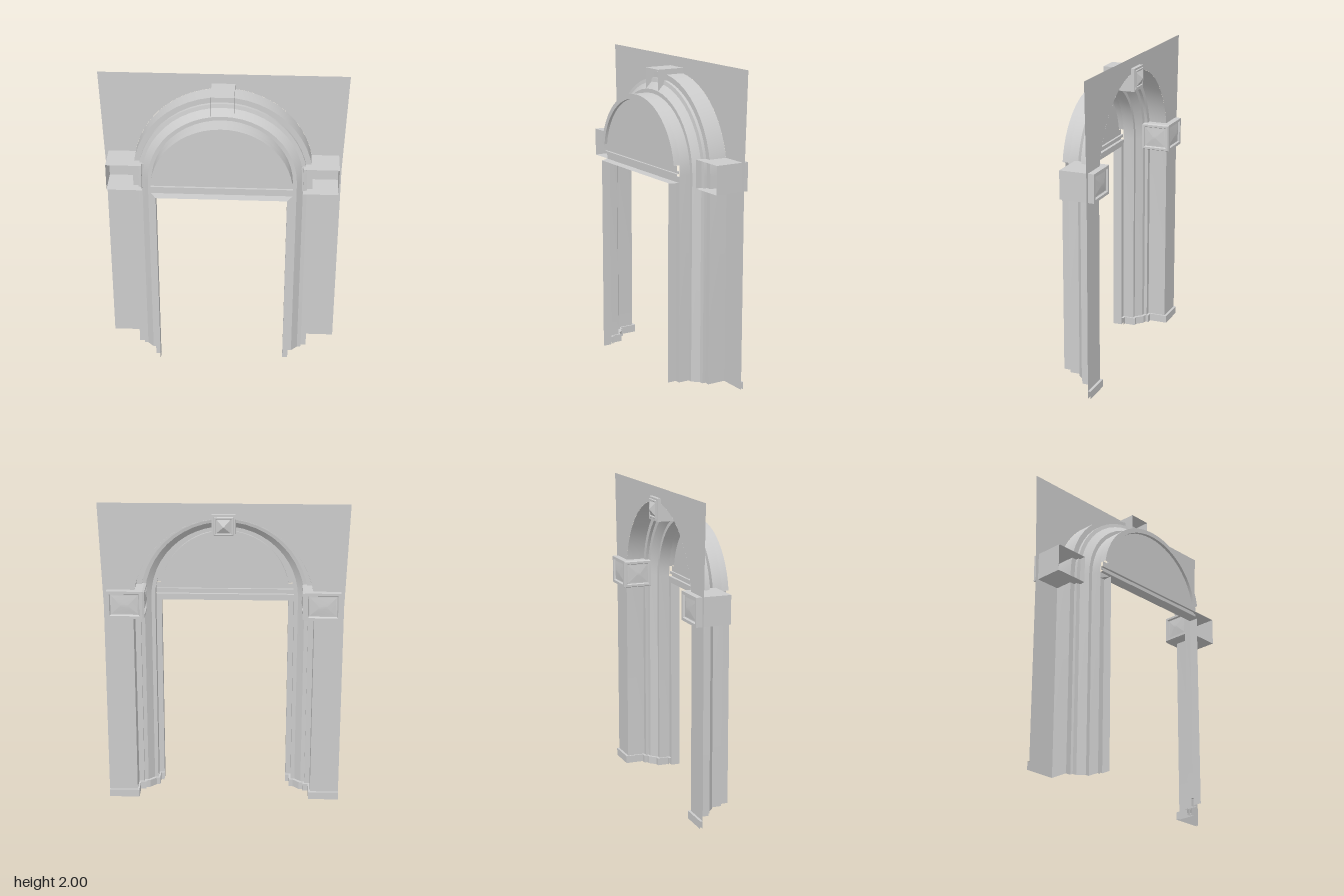
import * as THREE from 'three';
import { toCreasedNormals } from 'three/addons/utils/BufferGeometryUtils.js';

const SPRING = 1.335;   // height of the arch centre
const WALL_Z = -0.135;  // decorated face looks towards -z
const material = new THREE.MeshStandardMaterial({ color: 0xcccccc, side: THREE.DoubleSide });

// Surface through rows of points, all rows having the same length
function loft(name, rows) {
  const n = rows[0].length, index = [];
  for (let i = 0; i < rows.length - 1; i++) {
    for (let j = 0; j < n - 1; j++) {
      const a = i * n + j, c = a + n;
      index.push(a, a + 1, c, a + 1, c + 1, c);
    }
  }
  const geometry = new THREE.BufferGeometry();
  geometry.setAttribute('position', new THREE.Float32BufferAttribute(rows.flat(2), 3));
  geometry.setIndex(index);
  return named(name, toCreasedNormals(geometry, 0.35));
}

function named(name, geometry) {
  const mesh = new THREE.Mesh(geometry, material);
  mesh.name = name;
  return mesh;
}

// Sweep a [radius, z] profile over the arch; straight legs go down to y = foot
function archSweep(name, profile, foot, segments = 24, startAngle = 0) {
  const rows = [];
  if (foot !== null) rows.push(profile.map(([r, z]) => [r, foot, z]));
  for (let i = 0; i <= segments; i++) {
    const t = startAngle + (Math.PI - 2 * startAngle) * i / segments;
    rows.push(profile.map(([r, z]) => [r * Math.cos(t), SPRING + r * Math.sin(t), z]));
  }
  if (foot !== null) rows.push(profile.map(([r, z]) => [-r, foot, z]));
  return loft(name, rows);
}

// Framed panel with a hipped boss, facing +z; steps are [inset, height]
function bossPanel(name, w, h, steps, peak) {
  const ridge = Math.min(w, h) / 2 - 0.004;
  const rows = [...steps, [ridge, peak], [Math.min(w, h) / 2, peak]].map(([inset, d]) => {
    const x = w / 2 - inset, y = h / 2 - inset;
    return [[-x, -y, d], [x, -y, d], [x, y, d], [-x, y, d], [-x, -y, d]];
  });
  return loft(name, rows);
}

// Four-sided sleeve, open at its front and back
function sleeve(name, x0, x1, y0, y1, z0, z1) {
  return loft(name, [z0, z1].map(z =>
    [[x0, y0, z], [x1, y0, z], [x1, y1, z], [x0, y1, z], [x0, y0, z]]));
}

function createWall() {
  const shape = new THREE.Shape();
  shape.moveTo(-0.755, 0);
  shape.lineTo(-0.57, 0);
  shape.lineTo(-0.57, SPRING);
  shape.absarc(0, SPRING, 0.57, Math.PI, 0, true);
  shape.lineTo(0.57, 0);
  shape.lineTo(0.755, 0);
  shape.lineTo(0.755, SPRING);
  shape.lineTo(0.78, 2);
  shape.lineTo(-0.78, 2);
  shape.lineTo(-0.755, SPRING);
  const wall = named('wall', new THREE.ShapeGeometry(shape, 24));
  wall.position.z = WALL_Z;
  return wall;
}

function createTympanum() {
  const group = new THREE.Group();
  group.name = 'tympanum';
  // Half-round panel above the lintel
  const r = 0.415, a = Math.asin((1.4 - SPRING) / r);
  const shape = new THREE.Shape();
  shape.absarc(0, SPRING, r, a, Math.PI - a, false);
  const panel = named('tympanumPanel', new THREE.ShapeGeometry(shape, 24));
  panel.position.z = 0.145;
  // Raised rim around it
  const rim = [[0.445, 0.12], [0.445, 0.165], [0.415, 0.165], [0.415, 0.145]];
  group.add(panel, archSweep('tympanumRim', rim, null, 24, Math.asin((1.4 - SPRING) / 0.445)));
  return group;
}

function createLintel() {
  const profile = [[1.29, 0.185], [1.29, 0.125], [1.33, 0.125], [1.33, 0.145], [1.347, 0.145],
    [1.347, 0.13], [1.365, 0.13], [1.365, 0.145], [1.4, 0.145]];
  return loft('lintel', [-0.445, 0.445].map(x =>
    profile.map(([y, z]) => [y < 1.3 && z > 0.15 ? Math.sign(x) * 0.41 : x, y, z])));
}

// Everything that stands on one side of the doorway
function createSide(name) {
  const group = new THREE.Group();
  group.name = name;

  // Door jamb
  const jamb = [[0.445, 0.125], [0.41, 0.125], [0.41, 0.185]];
  group.add(loft('doorJamb', [0, 1.29].map(y => jamb.map(([x, z]) => [x, y, z]))));

  // Plinth following the mouldings, with a ledge on top
  const inner = [[0.755, -0.135], [0.57, -0.135], [0.57, -0.015], [0.535, -0.015], [0.535, 0.005],
    [0.51, 0.01], [0.47, 0.05], [0.445, 0.05], [0.445, 0.125], [0.41, 0.125]];
  const outer = inner.map(([x, z], i) =>
    [i === 0 || i === inner.length - 1 ? x : x - 0.012, z - 0.016]);
  group.add(loft('plinth', [
    outer.map(([x, z]) => [x, 0, z]),
    outer.map(([x, z]) => [x, 0.05, z]),
    inner.map(([x, z]) => [x, 0.05, z])]));

  // Impost block with a boss on its outer face and one towards the doorway
  const frame = [[0, 0], [0.018, 0], [0.024, -0.012], [0.032, -0.012]];
  const back = bossPanel('impostBackPanel', 0.225, 0.18, frame, 0.006);
  back.rotation.y = Math.PI;
  back.position.set(0.6225, 1.35, -0.175);
  const innerFrame = [[0, 0], [0.006, 0.014], [0.02, 0.014], [0.025, 0.003], [0.032, 0.003]];
  const side = bossPanel('impostInnerPanel', 0.195, 0.18, innerFrame, 0.02);
  side.rotation.y = -Math.PI / 2;
  side.position.set(0.51, 1.35, -0.0775);
  group.add(sleeve('impostBlock', 0.51, 0.735, 1.26, 1.44, 0.05, -0.175), back, side);
  return group;
}

function createKeystone() {
  const group = new THREE.Group();
  group.name = 'keystone';
  const frame = [[0, 0], [0.012, 0], [0.016, 0.006], [0.024, 0.006], [0.028, 0]];
  const panel = bossPanel('keystonePanel', 0.146, 0.145, frame, 0.025);
  panel.rotation.y = Math.PI;
  panel.position.set(0, 1.8625, -0.16);
  group.add(sleeve('keystoneBlock', -0.073, 0.073, 1.79, 1.935, 0.05, -0.16), panel);
  return group;
}

export function createModel() {
  const model = new THREE.Group();
  model.name = 'archedPortal';
  // Stepped and splayed reveal, running up one leg, over the arch and down the other
  const reveal = [[0.57, WALL_Z], [0.57, -0.015], [0.535, -0.015], [0.535, 0.005], [0.51, 0.01],
    [0.47, 0.05], [0.445, 0.05], [0.445, 0.125]];
  const right = createSide('rightSide');
  right.scale.x = -1;
  model.add(createWall(), archSweep('archReveal', reveal, 0), createTympanum(), createLintel(),
    createSide('leftSide'), right, createKeystone());
  return model;
}
